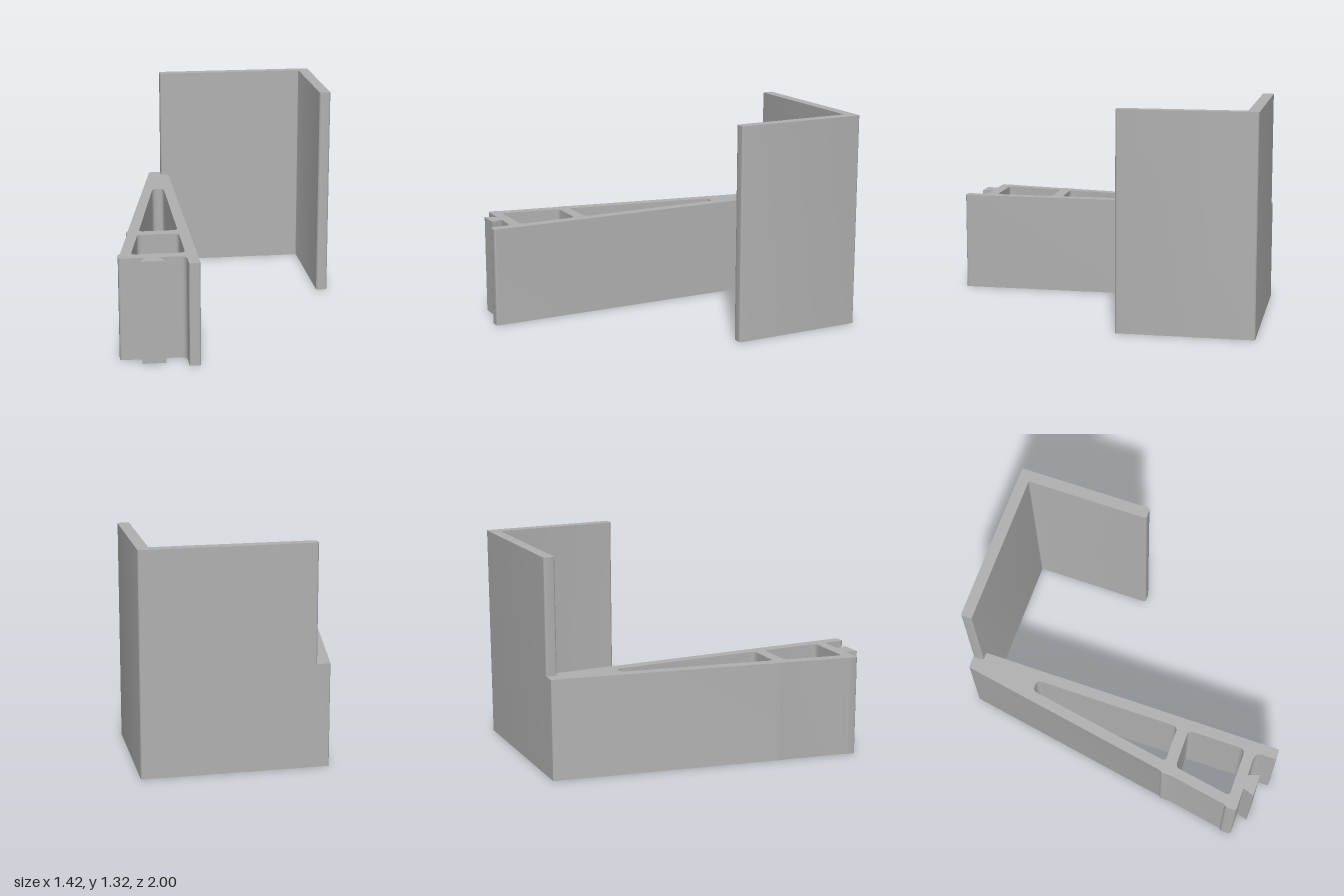
import * as THREE from 'three';
import { toCreasedNormals } from 'three/addons/utils/BufferGeometryUtils.js';

const grey = new THREE.MeshStandardMaterial({ color: 0xb0b0b0 });
grey.name = 'grey';

// Closed outline from [x, z, cornerRadius] points
function trace(path, pts) {
  const v = pts.map(([x, z]) => new THREE.Vector2(x, z));
  pts.forEach(([, , r = 0], i) => {
    const p = v[i];
    const toward = (q) => p.clone().add(q.clone().sub(p).setLength(r));
    const a = toward(v[(i + v.length - 1) % v.length]);
    const b = toward(v[(i + 1) % v.length]);
    if (i === 0) path.moveTo(a.x, a.y);
    else path.lineTo(a.x, a.y);
    if (r > 0) path.quadraticCurveTo(p.x, p.y, b.x, b.y);
  });
  path.closePath();
  return path;
}

// Plan profile raised from the ground to the given height
function raise(name, height, outline, holes = []) {
  const shape = trace(new THREE.Shape(), outline);
  holes.forEach((h) => shape.holes.push(trace(new THREE.Path(), h)));
  const geo = new THREE.ExtrudeGeometry(shape, { depth: height, bevelEnabled: false, curveSegments: 8 });
  geo.rotateX(Math.PI / 2).translate(0, height, 0);
  const mesh = new THREE.Mesh(toCreasedNormals(geo, 0.6), grey);
  mesh.name = name;
  return mesh;
}

export function createModel() {
  const group = new THREE.Group();
  group.name = 'bracket';

  // Tapered arm with two openings, small side ridges and a dovetail at the front
  group.add(raise('taperedArm', 0.615, [
    [-0.383, -1, 0.008], [-0.257, -1],
    [-0.257, 1, 0.012], [-0.323, 1, 0.012],
    [-0.323, 0.867, 0.045], [-0.475, 0.867],
    [-0.45, 0.938], [-0.588, 0.938], [-0.563, 0.867],
    [-0.71, 0.867, 0.015], [-0.71, 0.8, 0.01], [-0.697, 0.79],
    [-0.633, 0.43], [-0.633, 0.362, 0.008], [-0.622, 0.352],
  ], [
    [[-0.323, -0.567, 0.034], [-0.396, -0.567, 0.034], [-0.557, 0.363, 0.03], [-0.323, 0.363, 0.035]],
    [[-0.323, 0.433, 0.035], [-0.571, 0.433, 0.03], [-0.634, 0.8, 0.03], [-0.323, 0.8, 0.035]],
  ]));

  // Tall back wall with its right return
  group.add(raise('tallAngleWall', 1.315, [
    [-0.307, -1, 0.014], [0.71, -1, 0.014], [0.71, -0.18, 0.016], [0.64, -0.18, 0.016],
    [0.64, -0.932, 0.01], [-0.307, -0.932, 0.014],
  ]));

  return group;
}
